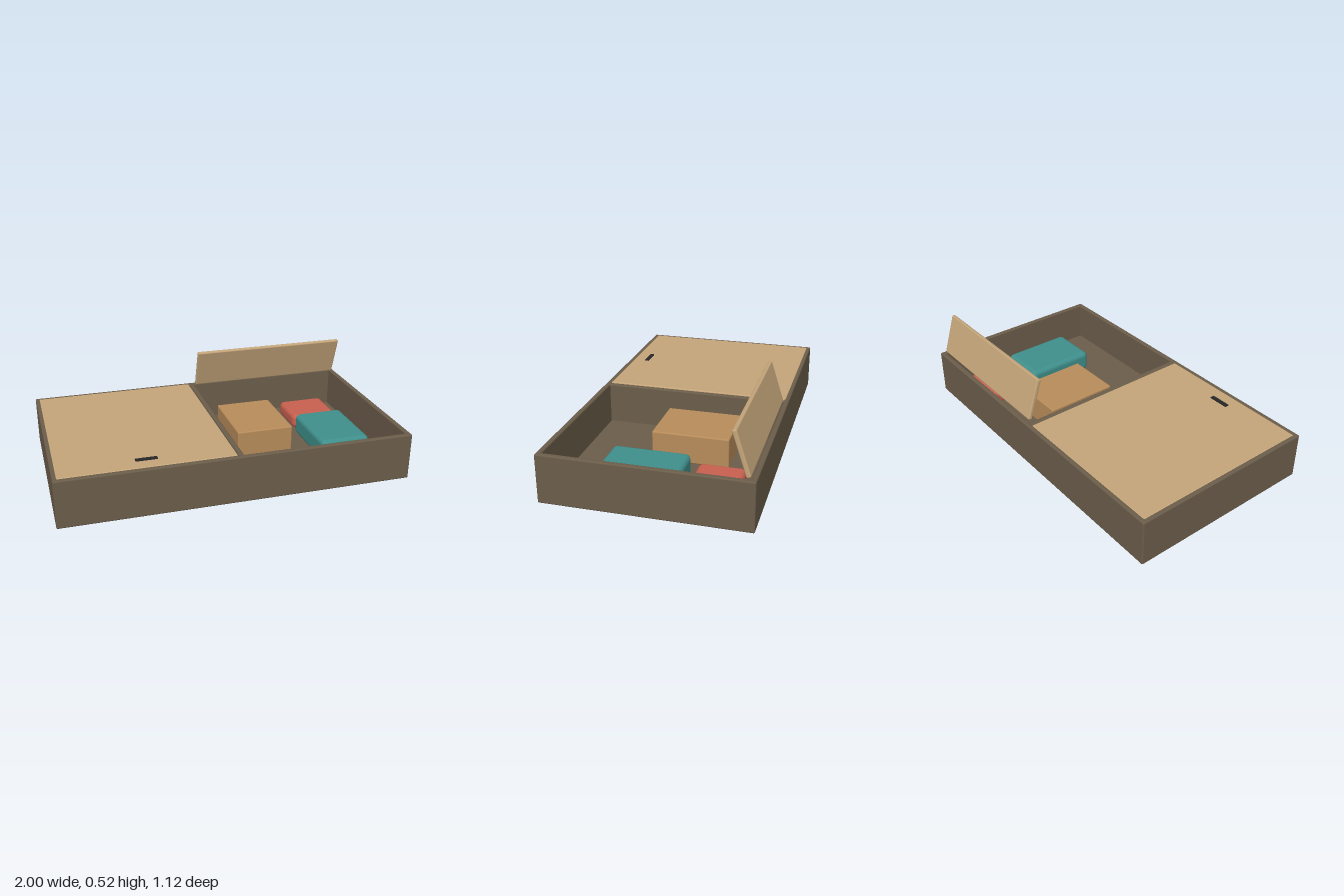
import * as THREE from 'three';
import { RoundedBoxGeometry } from 'three/addons/geometries/RoundedBoxGeometry.js';

const material = (color) => new THREE.MeshStandardMaterial({ color });

export function createModel() {
  const model = new THREE.Group();
  model.name = 'storageCrate';

  const frame = material(0x6b5d4a);
  const wood = material(0xc4a57a);
  const card = material(0xb88c5a);
  const teal = material(0x3f8f8c);
  const red = material(0xc8604f);
  const black = material(0x262626);

  // Box given by its minimum and maximum corners, with softened edges
  function block(name, mat, min, max, radius = 0.008, segments = 2) {
    const size = max.map((v, i) => v - min[i]);
    const mesh = new THREE.Mesh(new RoundedBoxGeometry(...size, segments, radius), mat);
    mesh.position.set(...max.map((v, i) => (v + min[i]) / 2));
    mesh.name = name;
    model.add(mesh);
    return mesh;
  }

  const H = 0.275, X = 1, Z = 0.56, T = 0.03;

  // Open-topped tray with a central divider
  block('floor', frame, [-X, 0, -Z], [X, 0.035, Z]);
  block('frontWall', frame, [-X, 0, Z - T], [X, H, Z]);
  block('backWall', frame, [-X, 0, -Z], [X, H, -Z + T]);
  block('rightWall', frame, [-X, 0, -Z], [-X + T, H, Z]);
  block('leftWall', frame, [X - T, 0, -Z], [X, H, Z]);
  block('divider', frame, [-0.015, 0.02, -Z + 0.01], [0.015, H - 0.001, Z - 0.01]);

  // Closed lid with its pull
  block('closedLid', wood, [-0.98, 0.25, -0.54], [-0.02, 0.277, 0.535]);
  block('lidPull', black, [-0.56, 0.27, 0.433], [-0.44, 0.283, 0.459], 0.002, 1);

  // Raised lid, hinged at the back and leaning forward
  const openLid = block('openLid', wood, [0.02, 0.276, -0.4945], [0.98, 0.526, -0.4695]);
  openLid.position.y = 0.4;
  openLid.rotation.x = 0.31;

  // Stored goods
  block('carton', card, [0.11, 0.035, -0.31], [0.45, 0.205, 0.125], 0.008);
  block('largeBundle', teal, [0.57, 0.035, -0.135], [0.875, 0.165, 0.3], 0.03, 3);
  block('smallBundle', red, [0.58, 0.035, -0.44], [0.87, 0.125, -0.18], 0.03, 3);

  return model;
}
